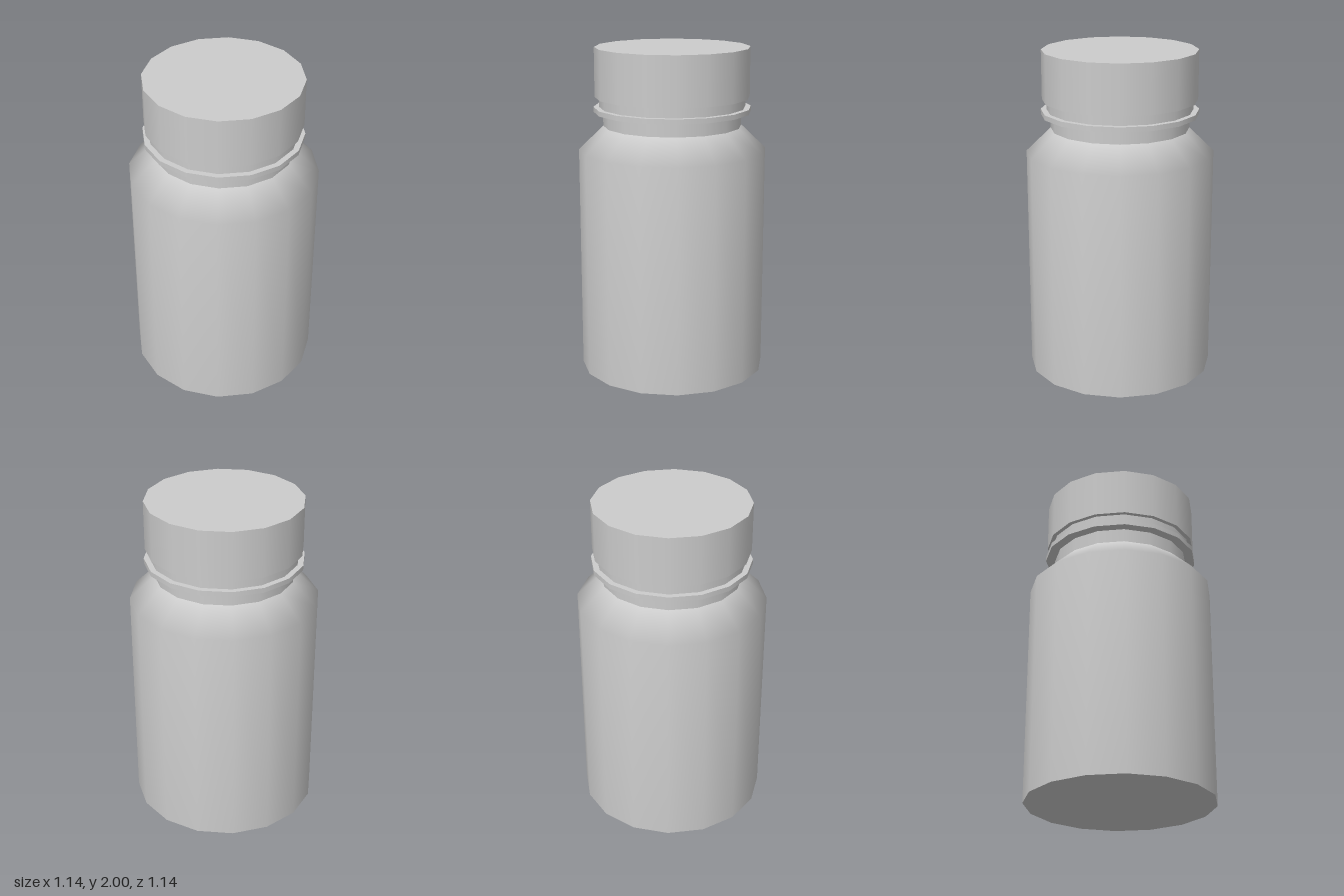
import * as THREE from 'three';

const SIDES = 16;
const material = new THREE.MeshStandardMaterial({ color: 0xcccccc });

// Round part from a profile listed bottom to top, smooth along its length
function turned(name, profile) {
  const points = profile.map(([r, y]) => new THREE.Vector2(r, y));
  const mesh = new THREE.Mesh(new THREE.LatheGeometry(points, SIDES), material);
  mesh.name = name;
  return mesh;
}

// Closed straight disc between two heights
function drum(name, radius, bottom, top) {
  const geometry = new THREE.CylinderGeometry(radius, radius, top - bottom, SIDES);
  const mesh = new THREE.Mesh(geometry, material);
  mesh.position.y = (bottom + top) / 2;
  mesh.name = name;
  return mesh;
}

export function createModel() {
  const jar = new THREE.Group();
  jar.name = 'bottle';

  // Body with a softly shaded shoulder, and a flat base
  jar.add(turned('base', [[0, 0], [0.57, 0]]));
  jar.add(turned('body', [[0.57, 0], [0.57, 1.38], [0.42, 1.525]]));

  // Neck, carrying collar and sealing band
  jar.add(drum('neck', 0.42, 1.525, 1.61));
  jar.add(drum('collar', 0.478, 1.61, 1.64));
  jar.add(drum('sealingBand', 0.444, 1.64, 1.7));

  // Screw cap
  jar.add(drum('cap', 0.47, 1.7, 2));

  return jar;
}
